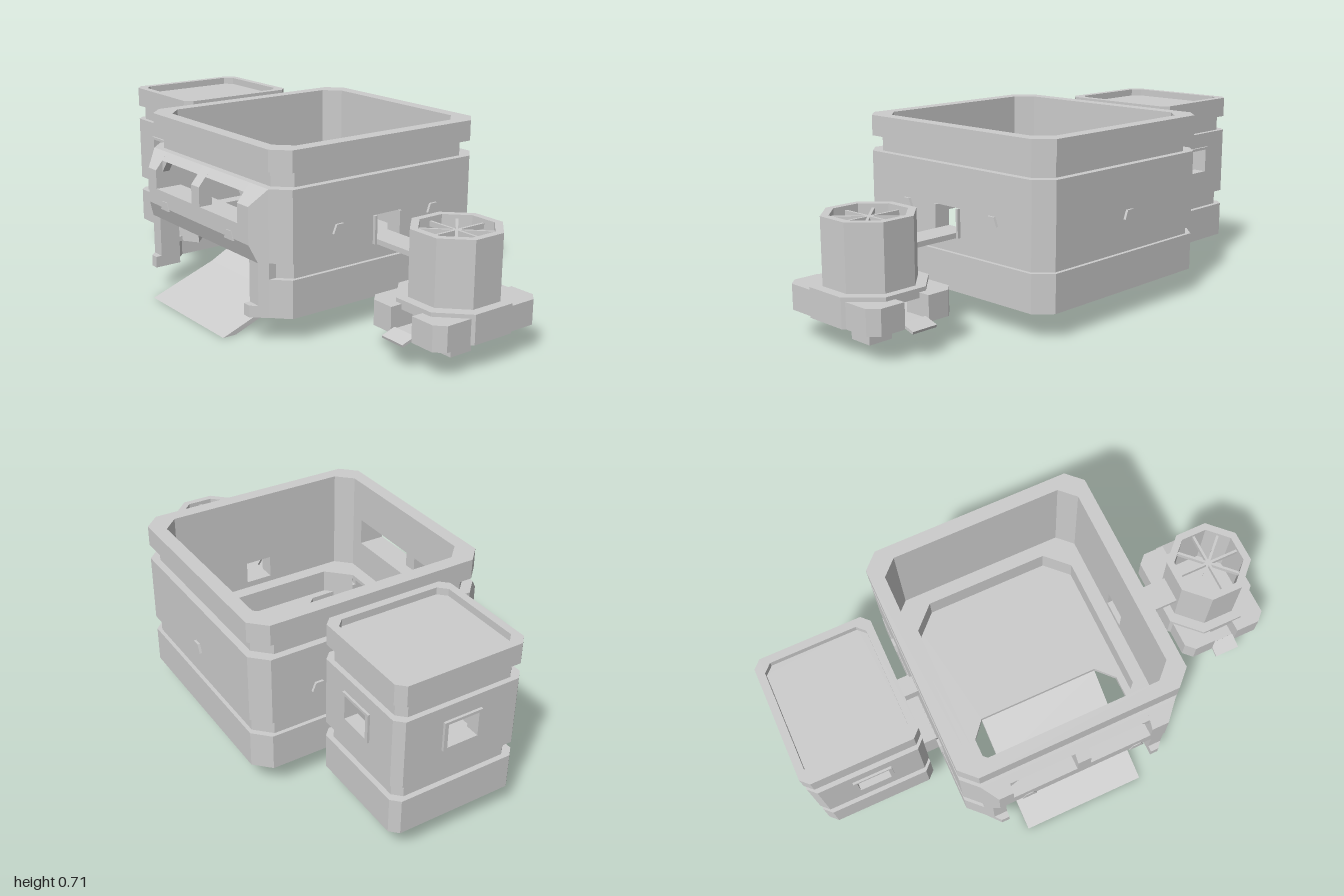
import * as THREE from 'three';

const material = new THREE.MeshStandardMaterial({ color: 0xcccccc, flatShading: true });

function add(parent, name, geometry, x = 0, y = 0, z = 0) {
  const mesh = new THREE.Mesh(geometry, material);
  mesh.name = name;
  mesh.position.set(x, y, z);
  parent.add(mesh);
  return mesh;
}

// Box given by its extents on each axis
function block(parent, name, [x0, x1], [y0, y1], [z0, z1]) {
  return add(parent, name, new THREE.BoxGeometry(x1 - x0, y1 - y0, z1 - z0),
    (x0 + x1) / 2, (y0 + y1) / 2, (z0 + z1) / 2);
}

// Rectangle with cut corners as [x, z] points; even sides are front, right, back, left
function octagon({ cx, cz, w, d, ch }, inset = 0, cut = ch) {
  const a = w / 2 - inset, b = d / 2 - inset;
  return [[-a + cut, b], [a - cut, b], [a, b - cut], [a, -b + cut],
    [a - cut, -b], [-a + cut, -b], [-a, -b + cut], [-a, b - cut]].map(([x, z]) => [cx + x, cz + z]);
}

// Upright prism from a plan outline
function prism(points, y0, y1) {
  const shape = new THREE.Shape(points.map(([x, z]) => new THREE.Vector2(x, -z)));
  return new THREE.ExtrudeGeometry(shape, { depth: y1 - y0, bevelEnabled: false })
    .rotateX(-Math.PI / 2).translate(0, y0, 0);
}

// Ring of eight wall pieces; gaps maps a side number to its opening [from, to]
function band(parent, name, plan, outerInset, innerInset, y0, y1, gaps = {}, innerCut = plan.ch) {
  const group = new THREE.Group();
  group.name = name;
  parent.add(group);
  const out = octagon(plan, outerInset), inn = octagon(plan, innerInset, innerCut);
  for (let i = 0; i < 8; i++) {
    const j = (i + 1) % 8;
    if (!gaps[i]) {
      add(group, 'wall', prism([out[i], out[j], inn[j], inn[i]], y0, y1));
      continue;
    }
    const axis = i % 4 === 0 ? 0 : 1; // direction the wall runs in
    const at = (p, v) => (axis === 0 ? [v, p[1]] : [p[0], v]);
    let [a, b] = gaps[i];
    if (out[i][axis] > out[j][axis]) [a, b] = [b, a];
    add(group, 'wall', prism([out[i], at(out[i], a), at(inn[i], a), inn[i]], y0, y1));
    add(group, 'wall', prism([at(out[j], b), out[j], inn[j], at(inn[j], b)], y0, y1));
  }
}

// Side profile of [z, y] points swept from x0 to x1
function sweep(profile, x0, x1) {
  const shape = new THREE.Shape(profile.map(([z, y]) => new THREE.Vector2(z, y)));
  return new THREE.ExtrudeGeometry(shape, { depth: x1 - x0, bevelEnabled: false })
    .rotateY(-Math.PI / 2).translate(x1, 0, 0);
}

// Pull the outer ends of the facade inwards as it comes forward
function taper(geometry) {
  const p = geometry.attributes.position;
  for (let i = 0; i < p.count; i++) {
    const x = p.getX(i) + 0.0175;
    if (Math.abs(x) > 0.39) p.setX(i, p.getX(i) - Math.sign(x) * (p.getZ(i) - 0.435) * 0.85);
  }
  geometry.computeVertexNormals();
  return geometry;
}

// Small wall lamp: a wedge narrowing upwards, facing the given angle
function lamp(parent, x, y, z, angle) {
  const profile = new THREE.Shape([[-0.03, 0], [0.03, 0], [0.016, 0.034], [-0.016, 0.034]]
    .map(([a, b]) => new THREE.Vector2(a, b)));
  const geometry = new THREE.ExtrudeGeometry(profile, { depth: 0.02, bevelEnabled: false });
  add(parent, 'wallLamp', geometry.translate(0, 0, -0.01), x, y, z).rotation.y = angle;
}

// Slim projecting frame around an opening
function windowFrame(parent, x, y, z, angle) {
  const rectangle = (a, b) => [[-a, -b], [a, -b], [a, b], [-a, b]].map(([u, v]) => new THREE.Vector2(u, v));
  const shape = new THREE.Shape(rectangle(0.077, 0.058));
  shape.holes.push(new THREE.Path(rectangle(0.0625, 0.0475)));
  const geometry = new THREE.ExtrudeGeometry(shape, { depth: 0.014, bevelEnabled: false });
  add(parent, 'windowFrame', geometry, x, y, z).rotation.y = angle;
}

function buildHall() {
  const hall = new THREE.Group();
  hall.name = 'mainHall';
  const plan = { cx: -0.0175, cz: -0.05, w: 0.915, d: 0.97, ch: 0.06 };
  const door = { 0: [-0.335, 0.3] };
  // Stacked wall bands, with grooves between them
  band(hall, 'lowerWalls', plan, 0, 0.055, 0.1, 0.245, door);
  band(hall, 'lowerGroove', plan, 0.015, 0.055, 0.245, 0.305, door);
  band(hall, 'middleWalls', plan, 0, 0.055, 0.305, 0.33);
  band(hall, 'middleWalls', plan, 0, 0.055, 0.33, 0.42, { 2: [-0.11, 0] });
  band(hall, 'middleWalls', plan, 0, 0.055, 0.42, 0.435);
  band(hall, 'windowWalls', plan, 0, 0.055, 0.435, 0.545, { 0: [-0.31, 0.265] });
  band(hall, 'middleWalls', plan, 0, 0.055, 0.545, 0.575);
  band(hall, 'upperGroove', plan, 0.028, 0.055, 0.575, 0.635);
  band(hall, 'topRim', plan, 0, 0.055, 0.635, 0.715);
  // Inner ledge, floor open towards the door, and ramp
  band(hall, 'innerLedge', plan, 0.05, 0.11, 0.19, 0.29, door, 0.09);
  band(hall, 'innerLedgeTop', plan, 0.05, 0.11, 0.29, 0.305, {}, 0.09);
  const [frontLeft, ...others] = octagon(plan, 0.05);
  const doorway = [[-0.335, 0.385], [-0.335, 0.16], [-0.275, 0.09], [0.235, 0.09], [0.3, 0.16], [0.3, 0.385]];
  add(hall, 'floor', prism([frontLeft, ...doorway, ...others], 0.19, 0.21));
  const ramp = [[0.54, 0], [0.485, 0], [0.19, 0.11], [0.06, 0.175], [0.06, 0.205], [0.09, 0.19], [0.265, 0.1]];
  add(hall, 'ramp', sweep(ramp, -0.275, 0.235));

  // Projecting facade
  const facade = new THREE.Group();
  facade.name = 'facade';
  hall.add(facade);
  const apron = [[0.435, 0.305], [0.465, 0.305], [0.49, 0.37], [0.49, 0.435], [0.435, 0.435]];
  add(facade, 'apron', taper(sweep(apron, -0.415, 0.38)));
  const pillar = [[0.435, 0.435], [0.49, 0.435], [0.49, 0.51], [0.435, 0.575]];
  for (const [x0, x1] of [[-0.415, -0.31], [-0.045, 0.01], [0.265, 0.38]]) {
    add(facade, 'windowPillar', taper(sweep(pillar, x0, x1)));
  }
  add(facade, 'lintel', sweep([[0.435, 0.545], [0.46, 0.545], [0.435, 0.575]], -0.31, 0.265));
  // Slanted upper corners at the outer ends of the two windows
  for (const [x, s] of [[-0.31, 1], [0.265, -1]]) {
    const corner = new THREE.Shape([[0, 0.5], [0.035 * s, 0.545], [0, 0.545]].map(([a, b]) => new THREE.Vector2(x + a, b)));
    add(facade, 'windowCorner', new THREE.ExtrudeGeometry(corner, { depth: 0.03, bevelEnabled: false }), 0, 0, 0.43);
  }
  const leg = [[0.435, 0.1], [0.49, 0.1], [0.49, 0.145], [0.465, 0.145], [0.465, 0.305], [0.435, 0.305]];
  for (const [x0, x1] of [[-0.415, -0.335], [0.3, 0.38]]) {
    add(facade, 'doorLeg', taper(sweep(leg, x0, x1)));
    block(facade, 'doorJamb', [x0, x1], [0.1, 0.305], [0.4, 0.435]);
  }

  // Lamps on every side
  for (const z of [0.17, -0.285]) {
    lamp(hall, 0.44, 0.385, z, Math.PI / 2);
    lamp(hall, -0.475, 0.385, z, -Math.PI / 2);
  }
  for (const x of [-0.245, 0.21]) lamp(hall, x, 0.362, 0.483, 0);
  lamp(hall, -0.0175, 0.375, -0.535, Math.PI);
  return hall;
}

function buildSideTower() {
  const tower = new THREE.Group();
  tower.name = 'sideTower';
  const plan = { cx: -0.7625, cz: -0.0525, w: 0.455, d: 0.515, ch: 0.03 };
  const windows = { 0: [-0.82, -0.695], 4: [-0.82, -0.695], 6: [-0.115, 0.01] };
  band(tower, 'lowerWalls', plan, 0, 0.02, 0.105, 0.245);
  band(tower, 'lowerGroove', plan, 0.02, 0.045, 0.245, 0.305);
  band(tower, 'middleWalls', plan, 0, 0.045, 0.305, 0.41);
  band(tower, 'windowWalls', plan, 0, 0.045, 0.41, 0.505, windows);
  band(tower, 'middleWalls', plan, 0, 0.045, 0.505, 0.575);
  band(tower, 'upperGroove', plan, 0.02, 0.045, 0.575, 0.635);
  band(tower, 'topRim', plan, 0, 0.03, 0.635, 0.715);
  add(tower, 'roof', prism(octagon(plan, 0.025), 0.65, 0.687));
  add(tower, 'floor', prism(octagon(plan, 0.015), 0.15, 0.24));
  windowFrame(tower, -0.7575, 0.4575, 0.2, 0);
  windowFrame(tower, -0.7575, 0.4575, -0.305, Math.PI);
  windowFrame(tower, -0.986, 0.4575, -0.0525, -Math.PI / 2);
  return tower;
}

function buildOutpost() {
  const outpost = new THREE.Group();
  outpost.name = 'outpost';
  const body = { cx: 0.8075, cz: -0.0525, w: 0.385, d: 0.385, ch: 0.105 };
  const corners = { cx: 0.8075, cz: -0.0525, w: 0.365, d: 0.48, ch: 0.035 };
  const doors = { 0: [0.75, 0.855], 4: [0.75, 0.855] };
  // Body with a passage through it, and four corner blocks
  add(outpost, 'bodyFloor', prism(octagon(corners, 0.005), 0.105, 0.117));
  band(outpost, 'bodyWalls', body, 0, 0.06, 0.105, 0.18, doors, 0.08);
  add(outpost, 'bodyRoof', prism(octagon(body), 0.18, 0.215));
  band(outpost, 'cornerBlocks', corners, 0, 0.09, 0.105, 0.2, { ...doors, 2: [-0.14, 0.035], 6: [-0.14, 0.035] }, 0.03);
  block(outpost, 'supportPost', [0.755, 0.855], [0, 0.106], [-0.1, 0]);
  // Small ramps at both doors
  for (const s of [1, -1]) {
    const flap = add(outpost, 'doorFlap', new THREE.BoxGeometry(0.105, 0.01, 0.06), 0.8025, 0.11, -0.0525 + s * 0.25);
    flap.rotation.x = s * 0.3;
  }
  // Octagonal turret with radial spokes
  const turret = { cx: 0.805, cz: -0.055, w: 0.315, d: 0.315, ch: 0.092 };
  band(outpost, 'turretWalls', turret, 0, 0.028, 0.215, 0.46, {}, 0.076);
  for (let i = 0; i < 4; i++) {
    const spoke = add(outpost, 'spoke', new THREE.BoxGeometry(0.265, 0.02, 0.01), 0.805, 0.435, -0.055);
    spoke.rotation.y = i * Math.PI / 4;
  }
  return outpost;
}

export function createModel() {
  const model = new THREE.Group();
  model.name = 'outpostBuilding';
  model.add(buildHall(), buildSideTower(), buildOutpost());
  // Links between the buildings
  block(model, 'lowerLinkRoof', [-0.54, -0.47], [0.215, 0.24], [-0.2, 0.095]);
  for (const z of [-0.2, 0.065]) block(model, 'lowerLinkWall', [-0.54, -0.47], [0.105, 0.24], [z, z + 0.03]);
  block(model, 'upperLink', [-0.54, -0.47], [0.475, 0.525], [-0.085, -0.02]);
  block(model, 'bridge', [0.43, 0.66], [0.31, 0.33], [-0.11, 0]);
  for (const z of [-0.12, 0]) block(model, 'bridgeDoorJamb', [0.43, 0.453], [0.31, 0.42], [z, z + 0.01]);
  return model;
}
